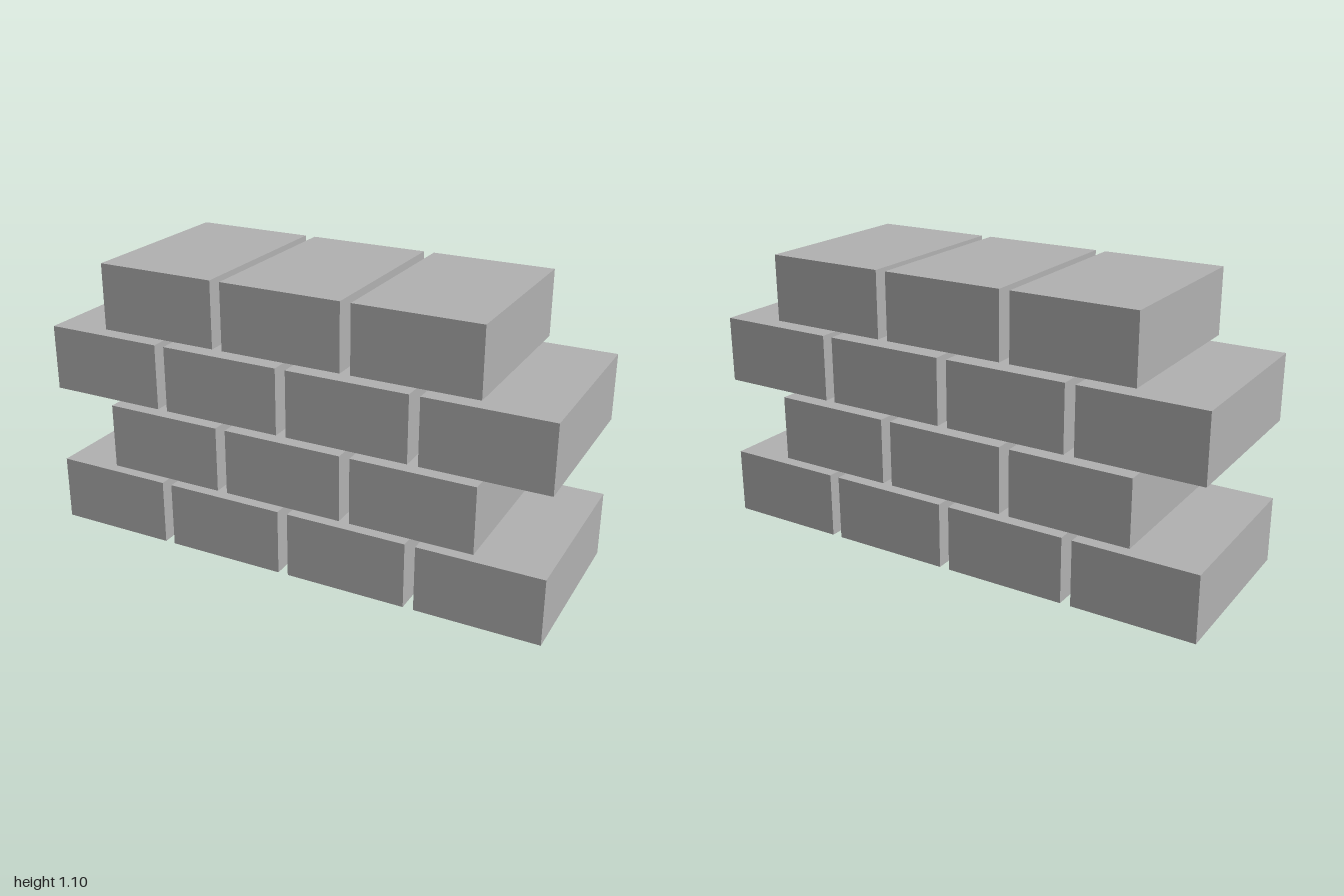
import * as THREE from 'three';

const BRICK = { w: 0.47, h: 0.255, d: 0.7 };
const PITCH_X = 0.51;
const PITCH_Y = 0.282;

export function createModel() {
  const wall = new THREE.Group();
  wall.name = 'brickWall';
  const brickGrey = new THREE.MeshStandardMaterial({ color: 0xb2b2b2 });
  brickGrey.name = 'brickGrey';
  const geometry = new THREE.BoxGeometry(BRICK.w, BRICK.h, BRICK.d);

  // Running bond: courses of four and three bricks alternate, with open joints
  [4, 3, 4, 3].forEach((count, row) => {
    const course = new THREE.Group();
    course.name = `course${row + 1}`;
    course.position.set(count === 3 ? -0.002 : 0, BRICK.h / 2 + row * PITCH_Y, 0);
    for (let i = 0; i < count; i++) {
      const brick = new THREE.Mesh(geometry, brickGrey);
      brick.name = `brick${i + 1}`;
      brick.position.x = (i - (count - 1) / 2) * PITCH_X;
      course.add(brick);
    }
    wall.add(course);
  });
  return wall;
}
